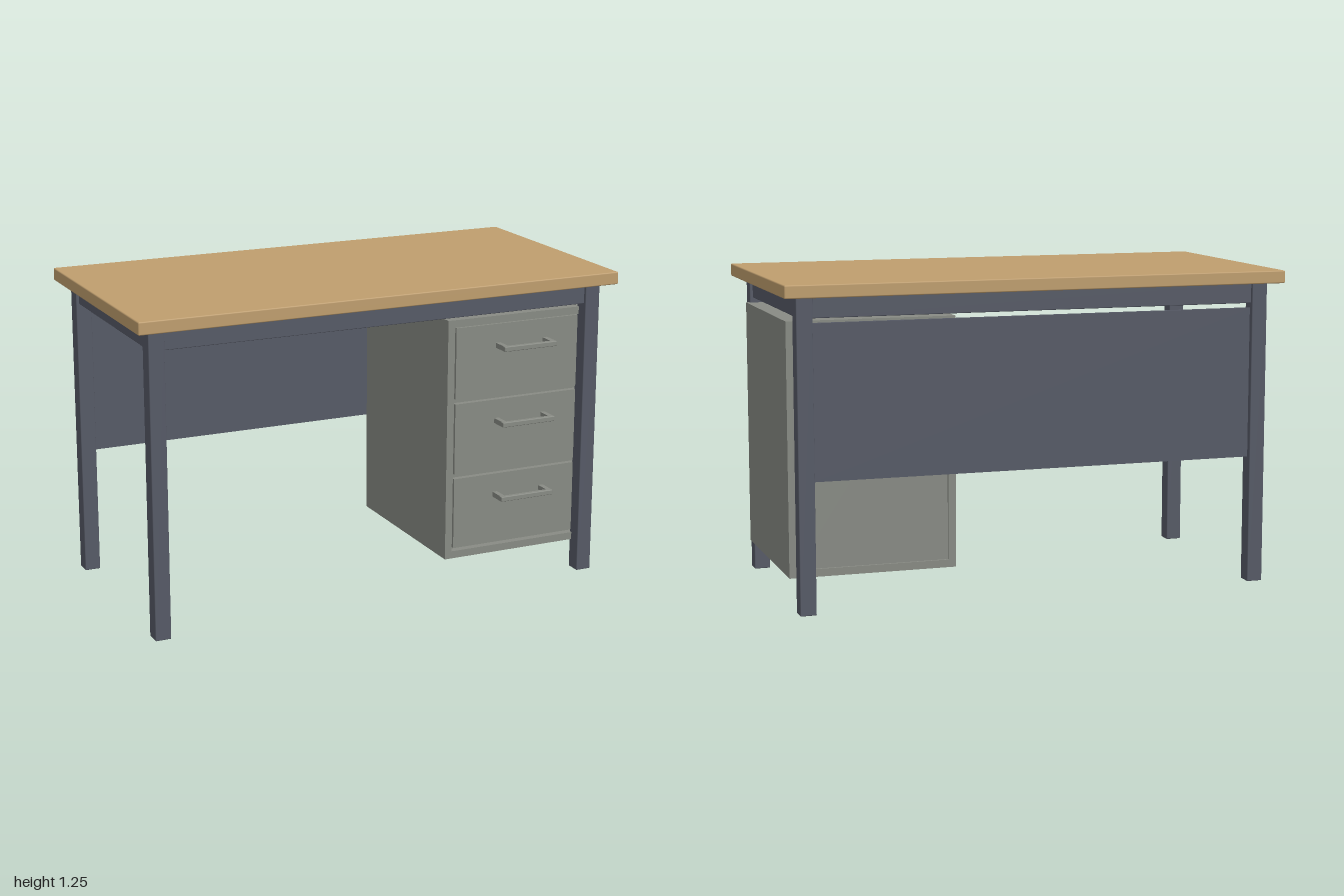
import * as THREE from 'three';
import { RoundedBoxGeometry } from 'three/addons/geometries/RoundedBoxGeometry.js';

const mat = (name, color) => {
  const m = new THREE.MeshStandardMaterial({ color });
  m.name = name;
  return m;
};

export function createModel() {
  const wood = mat('wood', 0xbf9e6e);
  const steel = mat('dark steel', 0x565a66);
  const grey = mat('cabinet grey', 0x888b84);

  const desk = new THREE.Group();
  desk.name = 'desk';

  // Box given by its extents; a bevel softens the edges
  const box = (parent, name, material, [x0, x1], [y0, y1], [z0, z1], bevel = 0) => {
    const size = [x1 - x0, y1 - y0, z1 - z0];
    const geometry = bevel
      ? new RoundedBoxGeometry(...size, 1, bevel)
      : new THREE.BoxGeometry(...size);
    const mesh = new THREE.Mesh(geometry, material);
    mesh.position.set((x0 + x1) / 2, (y0 + y1) / 2, (z0 + z1) / 2);
    mesh.name = name;
    parent.add(mesh);
    return mesh;
  };
  const around = (c, size) => [c - size / 2, c + size / 2];

  box(desk, 'tabletop', wood, [-1, 1], [1.2, 1.25], [-0.5, 0.5], 0.005);

  // Frame: four legs joined by rails under the top
  const frame = new THREE.Group();
  frame.name = 'frame';
  desk.add(frame);
  const legX = 0.915, legZ = 0.418, legSize = 0.063;
  for (const s of [-1, 1]) {
    for (const t of [-1, 1]) {
      box(frame, 'leg', steel, around(s * legX, legSize), [0, 1.2], around(t * legZ, legSize), 0.003);
    }
    box(frame, 'longRail', steel, [-0.885, 0.885], [1.12, 1.2], around(s * legZ, 0.04), 0.003);
    box(frame, 'sideRail', steel, around(s * legX, 0.04), [1.12, 1.2], [-0.387, 0.387], 0.003);
  }
  box(frame, 'modestyPanel', steel, [-0.885, 0.885], [0.505, 1.1], around(-0.418, 0.02));

  // Drawer cabinet: shell of panels around a recessed core
  const cabinet = new THREE.Group();
  cabinet.name = 'drawerCabinet';
  desk.add(cabinet);
  const depth = [-0.33, 0.4];
  box(cabinet, 'sidePanel', grey, [0.3, 0.33], [0.12, 1.1], depth);
  box(cabinet, 'sidePanel', grey, [0.93, 0.96], [0.12, 1.1], depth);
  box(cabinet, 'topPanel', grey, [0.33, 0.93], [1.07, 1.1], depth);
  box(cabinet, 'bottomPanel', grey, [0.33, 0.93], [0.12, 0.15], depth);
  box(cabinet, 'core', grey, [0.33, 0.93], [0.15, 1.07], [-0.32, 0.37]);

  // Three drawers, each with a bar handle on two posts
  for (let i = 0; i < 3; i++) {
    const y = 0.305 + i * 0.308;
    const drawer = new THREE.Group();
    drawer.name = 'drawer';
    cabinet.add(drawer);
    box(drawer, 'drawerFront', grey, [0.34, 0.92], around(y, 0.288), [0.365, 0.393]);
    const handleY = around(y + 0.058, 0.02);
    box(drawer, 'handleBar', grey, [0.513, 0.747], handleY, [0.45, 0.47], 0.003);
    for (const s of [-1, 1]) {
      box(drawer, 'handlePost', grey, around(0.63 + s * 0.105, 0.02), handleY, [0.39, 0.453]);
    }
  }
  return desk;
}
